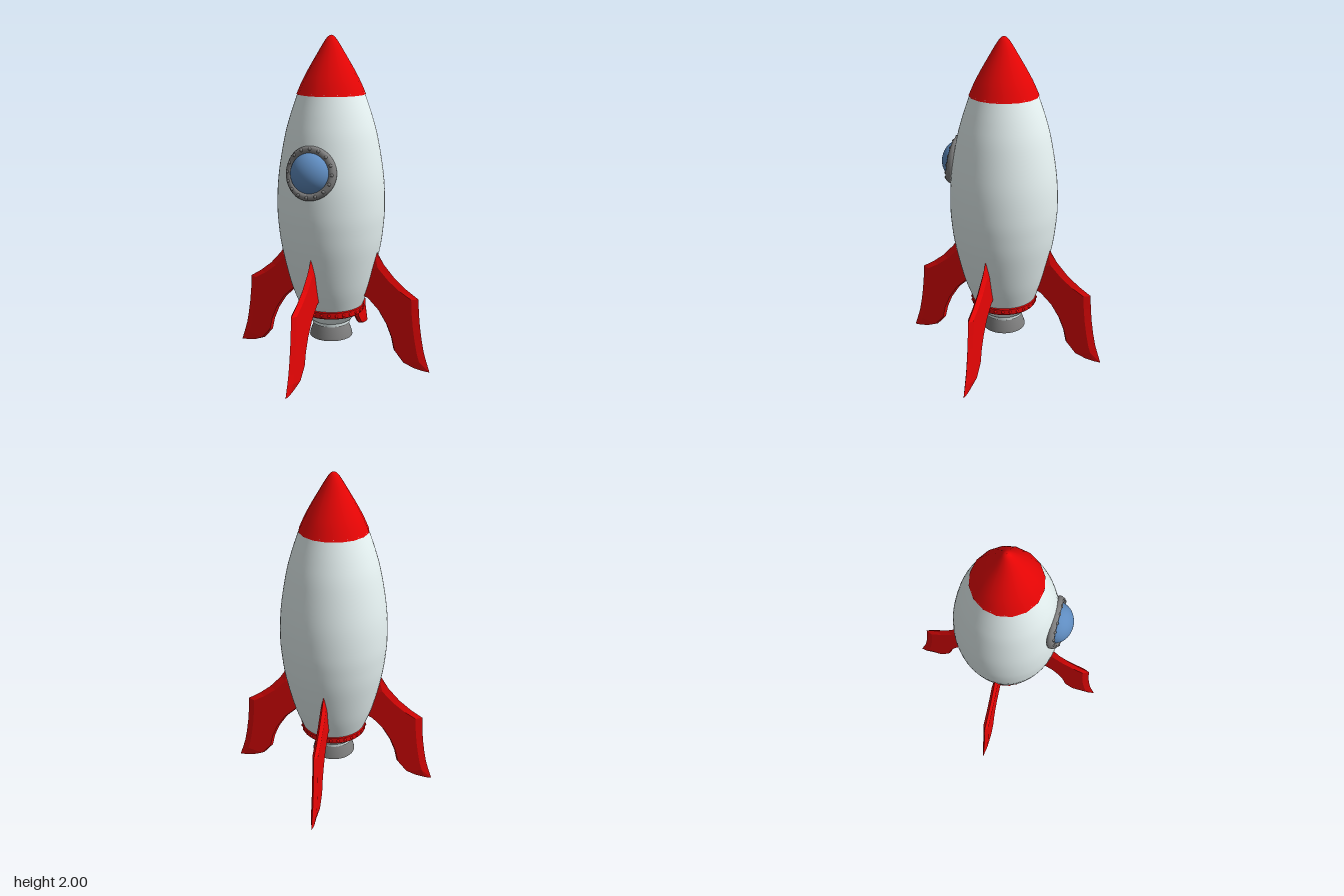
import * as THREE from 'three';
import { toCreasedNormals } from 'three/addons/utils/BufferGeometryUtils.js';

const mat = (color, extra = {}) => new THREE.MeshStandardMaterial({ color, ...extra });
const white = mat(0xe9f5f5);
const red = mat(0xe80505);
const redFlat = mat(0xe80505, { flatShading: true });
const grey = mat(0x808080, { side: THREE.DoubleSide });
const blue = mat(0x5f8cc0);

function mesh(name, geometry, material, parent) {
  const m = new THREE.Mesh(geometry, material);
  m.name = name;
  parent.add(m);
  return m;
}

const points = (list) => list.map(([x, y]) => new THREE.Vector2(x, y));
const lathe = (list, sides) => new THREE.LatheGeometry(points(list), sides);
const creased = (list, sides) => toCreasedNormals(lathe(list, sides), 0.6);

// Fin blade: six-sided sections, sharp along both edges, lofted from root to foot
function finGeometry() {
  // outer x, y, inner x, y, half thickness
  const stations = [
    [0.3, 0.722, 0.27, 0.70, 0.003],
    [0.348, 0.645, 0.25, 0.60, 0.017],
    [0.42, 0.565, 0.22, 0.51, 0.017],
    [0.495, 0.505, 0.20, 0.44, 0.017],
    [0.568, 0.458, 0.24, 0.425, 0.017],
    [0.573, 0.37, 0.313, 0.355, 0.017],
    [0.582, 0.285, 0.367, 0.27, 0.017],
    [0.595, 0.2, 0.4, 0.19, 0.017],
    [0.61, 0.125, 0.418, 0.11, 0.017],
    [0.625, 0.075, 0.478, 0.04, 0.017],
    [0.65, 0, 0.54, 0.016, 0.008],
  ];
  const pos = [], index = [], n = 6;
  for (const [ox, oy, ix, iy, t] of stations) {
    const len = Math.hypot(ix - ox, iy - oy);
    const at = (f, z) => pos.push(ox + (ix - ox) * f, oy + (iy - oy) * f, z);
    const a = Math.min(0.04 / len, 0.45), b = 1 - Math.min(0.012 / len, 0.3);
    at(0, 0); at(a, t); at(b, t); at(1, 0); at(b, -t); at(a, -t);
  }
  for (let s = 0; s < stations.length - 1; s++) {
    for (let k = 0; k < n; k++) {
      const p = s * n + k, q = s * n + (k + 1) % n;
      index.push(p, q, p + n, q, q + n, p + n);
    }
  }
  // End caps
  const last = (stations.length - 1) * n;
  for (let k = 1; k < n - 1; k++) {
    index.push(0, k + 1, k, last, last + k, last + k + 1);
  }
  const g = new THREE.BufferGeometry();
  g.setAttribute('position', new THREE.Float32BufferAttribute(pos, 3));
  g.setIndex(index);
  g.computeVertexNormals();
  return g;
}

export function createModel() {
  const rocket = new THREE.Group();
  rocket.name = 'rocket';

  // Hull
  const curve = new THREE.SplineCurve(points([
    [0.19, 0.34], [0.249, 0.5], [0.301, 0.72], [0.321, 0.87], [0.327, 1.0], [0.317, 1.18],
    [0.28, 1.4], [0.242, 1.54], [0.197, 1.67],
  ]));
  mesh('hull', new THREE.LatheGeometry(curve.getPoints(40), 64), white, rocket);

  // Nose cone with a slightly drawn-out tip
  const noseCurve = new THREE.SplineCurve(points([
    [0.205, 1.66], [0.172, 1.735], [0.132, 1.81], [0.085, 1.89], [0.046, 1.955], [0.02, 1.99], [0, 2],
  ]));
  mesh('noseCone', new THREE.LatheGeometry(noseCurve.getPoints(24), 16), red, rocket);
  mesh('noseBase', lathe([[0, 1.66], [0.205, 1.66]], 16), red, rocket);

  // Tail below the collar
  mesh('tail', creased([
    [0, 0.235], [0.118, 0.235], [0.12, 0.255], [0.13, 0.262], [0.152, 0.29], [0.178, 0.33], [0.19, 0.345],
  ], 48), white, rocket);

  // Open flared nozzle with wall thickness
  mesh('nozzle', creased([
    [0.096, 0.236], [0.118, 0.152], [0.134, 0.15], [0.132, 0.165], [0.109, 0.232], [0.096, 0.236],
  ], 40), grey, rocket);

  // Riveted collar
  const collar = new THREE.Group();
  collar.name = 'collar';
  rocket.add(collar);
  mesh('collarBand', creased([
    [0.165, 0.318], [0.196, 0.318], [0.203, 0.325], [0.205, 0.36], [0.2, 0.366], [0.18, 0.366],
  ], 48), red, collar);
  const rivet = new THREE.SphereGeometry(0.01, 10, 8);
  for (let i = 0; i < 28; i++) {
    const a = (i + 0.5) / 28 * Math.PI * 2;
    mesh('collarRivet', rivet, red, collar)
      .position.set(0.201 * Math.sin(a), 0.342, 0.201 * Math.cos(a));
  }

  // Four fins
  const fin = finGeometry();
  for (let i = 0; i < 4; i++) mesh('fin', fin, redFlat, rocket).rotation.y = i * Math.PI / 2;

  // Porthole, tilted with the hull and bent around it
  const porthole = new THREE.Group();
  porthole.name = 'porthole';
  porthole.position.set(0, 1.238, 0.315);
  porthole.rotation.x = -0.18;
  rocket.add(porthole);
  const bend = (x) => -0.9 * x * x;
  const frame = lathe([
    [0.112, -0.022], [0.148, -0.022], [0.156, -0.014], [0.157, 0], [0.15, 0.013], [0.138, 0.018],
    [0.124, 0.015], [0.115, 0.005], [0.112, -0.022],
  ], 48).rotateX(Math.PI / 2);
  const p = frame.attributes.position;
  for (let i = 0; i < p.count; i++) p.setZ(i, p.getZ(i) + bend(p.getX(i)));
  frame.computeVertexNormals();
  mesh('portholeFrame', frame, grey, porthole);
  const glass = mesh('portholeGlass', new THREE.SphereGeometry(0.12, 40, 28), blue, porthole);
  glass.position.z = -0.02;
  glass.scale.z = 0.83;
  for (let i = 0; i < 16; i++) {
    const a = i / 16 * Math.PI * 2, x = 0.138 * Math.sin(a);
    mesh('portholeRivet', rivet, grey, porthole)
      .position.set(x, 0.138 * Math.cos(a), 0.014 + bend(x));
  }
  return rocket;
}
